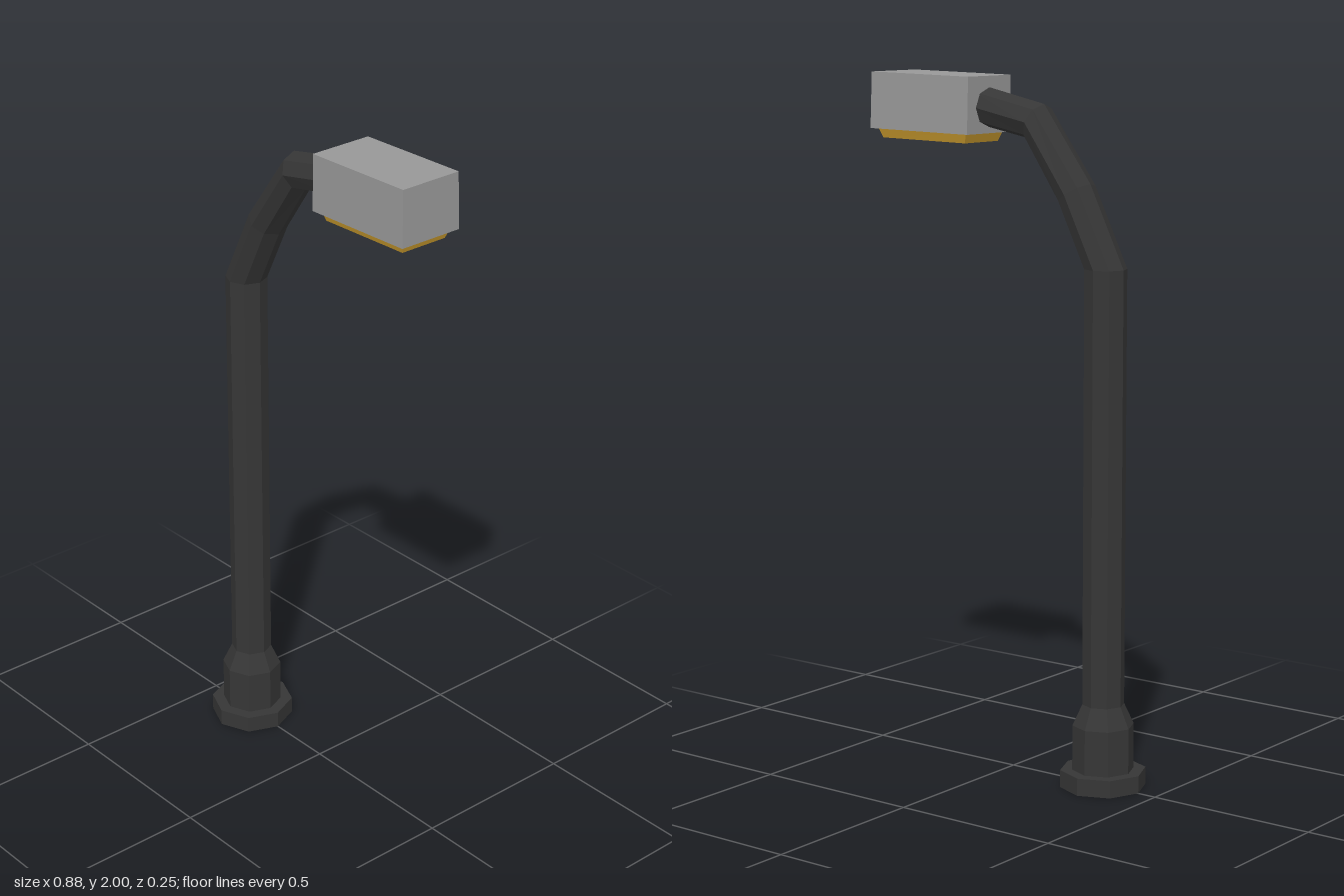
import * as THREE from 'three';

const darkMetal = new THREE.MeshStandardMaterial({ name: 'dark metal', color: 0x363636 });
const greyHousing = new THREE.MeshStandardMaterial({ name: 'grey housing', color: 0x989898 });
const amberLamp = new THREE.MeshStandardMaterial({ name: 'amber lamp', color: 0xd0a030 });
for (const m of [darkMetal, greyHousing, amberLamp]) m.flatShading = true;

function addMesh(group, name, geometry, material) {
  const mesh = new THREE.Mesh(geometry, material);
  mesh.name = name;
  group.add(mesh);
}

// Octagonal loft; each ring is [outer x, outer y, inner x, inner y, half depth]
function loft(rings, sides = 8) {
  const points = rings.map(([ox, oy, ix, iy, r]) => {
    const centre = new THREE.Vector3((ox + ix) / 2, (oy + iy) / 2, 0);
    const ring = Array.from({ length: sides }, (_, i) => {
      const a = (i / sides) * Math.PI * 2;
      const c = Math.cos(a) / 2;
      return new THREE.Vector3(centre.x + (ox - ix) * c, centre.y + (oy - iy) * c, r * Math.sin(a));
    });
    return { centre, ring };
  });
  const tris = [];
  const first = points[0], last = points[points.length - 1];
  for (let i = 0; i < sides; i++) {
    const j = (i + 1) % sides;
    for (let k = 0; k < points.length - 1; k++) {
      const lo = points[k].ring, hi = points[k + 1].ring;
      tris.push(lo[i], lo[j], hi[j], lo[i], hi[j], hi[i]);
    }
    tris.push(first.centre, first.ring[j], first.ring[i]);
    tris.push(last.centre, last.ring[i], last.ring[j]);
  }
  const geometry = new THREE.BufferGeometry().setFromPoints(tris);
  geometry.computeVertexNormals();
  return geometry;
}

// Box whose top and bottom faces have their own size, with a slight rise towards +x
function taperedBox(top, bottom, rise) {
  const geometry = new THREE.BoxGeometry(1, 1, 1).toNonIndexed();
  const p = geometry.attributes.position;
  for (let i = 0; i < p.count; i++) {
    const f = p.getY(i) > 0 ? top : bottom;
    const right = p.getX(i) > 0;
    p.setXYZ(i, right ? f.x1 : f.x0, f.y + (right ? rise : 0), Math.sign(p.getZ(i)) * f.z);
  }
  geometry.computeVertexNormals();
  return geometry;
}

export function createModel() {
  const group = new THREE.Group();
  group.name = 'streetLamp';
  const X = -0.32;
  const level = (y, r) => [X - r, y, X + r, y, r];

  // Foot plate and collar
  addMesh(group, 'footPlate', loft([level(0, 0.123), level(0.05, 0.123)]), darkMetal);
  addMesh(group, 'collar', loft([level(0.05, 0.088), level(0.18, 0.088), level(0.24, 0.06)]), darkMetal);

  // Post bending over into the arm
  addMesh(group, 'postAndArm', loft([
    level(0.24, 0.06),
    level(1.475, 0.06),
    [-0.266, 1.706, -0.174, 1.652, 0.061],
    [-0.107, 1.92, -0.06, 1.822, 0.061],
    [0.1, 1.964, 0.1, 1.852, 0.061],
  ]), darkMetal);

  // Lamp head
  addMesh(group, 'lampHousing', taperedBox(
    { x0: 0.085, x1: 0.437, y: 1.993, z: 0.097 },
    { x0: 0.087, x1: 0.441, y: 1.832, z: 0.1 }, 0.007), greyHousing);

  // Lens under the head
  addMesh(group, 'lampLens', taperedBox(
    { x0: 0.104, x1: 0.424, y: 1.834, z: 0.085 },
    { x0: 0.114, x1: 0.414, y: 1.806, z: 0.075 }, 0.006), amberLamp);

  return group;
}
